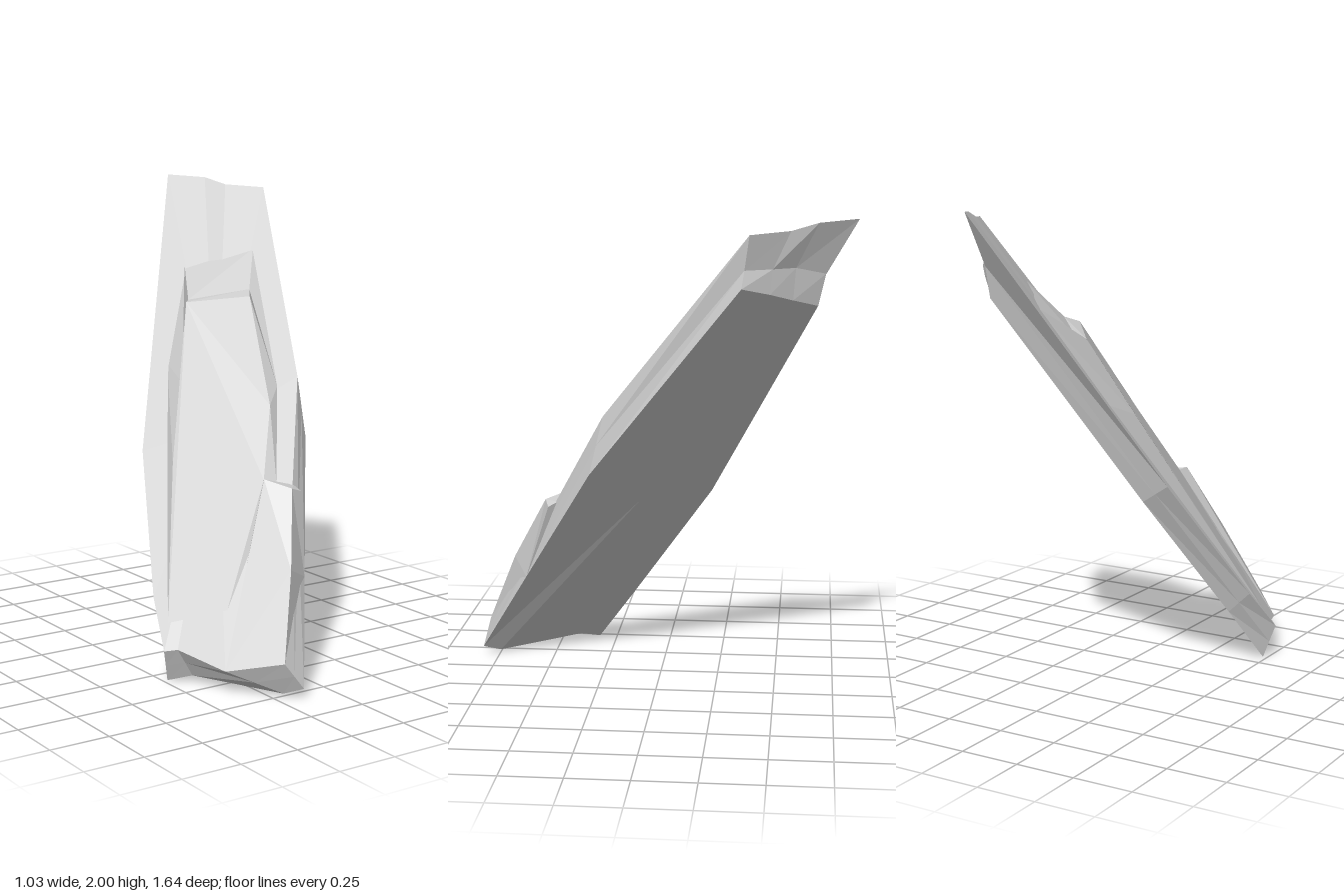
import * as THREE from 'three';

const grey = new THREE.MeshStandardMaterial({ color: 0xcccccc, flatShading: true, side: THREE.DoubleSide });

// Faceted mesh from convex polygons, each a loop of [x, y, z] corners
function facets(name, polygons) {
  const pos = [];
  for (const p of polygons) {
    for (let i = 1; i < p.length - 1; i++) pos.push(...p[0], ...p[i], ...p[i + 1]);
  }
  const geo = new THREE.BufferGeometry();
  geo.setAttribute('position', new THREE.Float32BufferAttribute(pos, 3));
  geo.computeVertexNormals();
  const mesh = new THREE.Mesh(geo, grey);
  mesh.name = name;
  return mesh;
}

// Point over the slab's sloping upper face, raised by h along its normal
const onSlab = (x, z, h = -0.003) => [x, (0.695 * x - 0.433 * z + 0.605 + h) / 0.575, z];

const middle = (...pts) => [0, 1, 2].map(k => pts.reduce((s, p) => s + p[k], 0) / pts.length);

// Leaning slab: upper rim, lower rim and, at the broken end, a notched middle rim
function slab() {
  const rim = [
    [[0.26, 2.0, -0.82], [0.26, 1.65, -0.66], [0.26, 1.78, -0.69]],
    [[0.36, 1.99, -0.66], [0.34, 1.68, -0.56], [0.34, 1.81, -0.57]],
    [[0.40, 1.96, -0.55], [0.42, 1.71, -0.47], [0.41, 1.81, -0.48]],
    [[0.50, 1.95, -0.39], [0.51, 1.74, -0.36], [0.48, 1.81, -0.37]],
    [[0.25, 1.18, 0.22], [0.25, 0.93, 0.28]],
    [[0.05, 0.75, 0.46], [0.02, 0.42, 0.59]],
    [[-0.23, 0.15, 0.80], [-0.15, 0.04, 0.82]],
    [[-0.39, 0.10, 0.62], [-0.20, 0.01, 0.75]],
    [[-0.48, 0.15, 0.41], [-0.41, 0.03, 0.41]],
    [[-0.52, 0.14, 0.37], [-0.48, 0.0, 0.33]],
    [[-0.47, 0.32, 0.21], [-0.395, 0.24, 0.16]],
    [[-0.28, 0.85, -0.18], [-0.18, 0.78, -0.21]],
  ].map(([top, low, mid]) => ({ top, low, mid: mid ?? middle(top, low) }));
  const topCentre = middle(...rim.map(r => r.top));
  const lowCentre = middle(...rim.map(r => r.low));
  const faces = [];
  rim.forEach((a, i) => {
    const b = rim[(i + 1) % rim.length];
    faces.push([topCentre, b.top, a.top], [lowCentre, a.low, b.low],
      [a.top, b.top, b.mid, a.mid], [a.mid, b.mid, b.low, a.low]);
  });
  return facets('slab', faces);
}

// Thin raised layer with a stepped upper end and chamfered sides
function raisedLayer() {
  const A = onSlab(0.03, -0.31, 0.08), B = onSlab(0.21, -0.08, 0.075);
  const C = onSlab(0.10, 0.23, 0.04), D = onSlab(-0.03, 0.37, 0.03);
  const E = onSlab(-0.30, 0.50), K = onSlab(-0.47, 0.32);
  const H = onSlab(-0.24, 0, 0.035), G = onSlab(-0.10, -0.14, 0.055);
  const A2 = onSlab(0.06, -0.34, 0.05), B2 = onSlab(0.25, -0.14, 0.035);
  const U = onSlab(0.15, -0.51), V = onSlab(0.36, -0.27);
  const W = onSlab(0.18, 0.17), X = onSlab(0.02, 0.39);
  const G0 = onSlab(-0.07, -0.31), H0 = onSlab(-0.25, -0.03);
  return facets('raisedLayer', [
    [A, G, H, K, E, D, C, B],                                    // top
    [A, B, B2, A2], [A2, B2, V, U],                              // stepped end
    [U, G0, G, A, A2], [G0, H0, H, G], [H0, K, H],               // left flank
    [B, C, W, B2], [B2, W, V], [C, D, X, W], [E, X, D],          // right flank and foot
  ]);
}

// Wedge-shaped chip over the lower corner
function cornerWedge() {
  const foot = [-0.39, 0.10, 0.62], tip = [-0.23, 0.15, 0.80], ridge = [-0.10, 0.48, 0.66];
  const peak = [0.02, 0.77, 0.50], back = [-0.05, 0.80, 0.40];
  const heel = [-0.03, 0.79, 0.37], heelBase = [0.02, 0.77, 0.39];
  const lip = [0.08, 0.75, 0.48], lipBack = [0.07, 0.77, 0.44], side = [0.02, 0.42, 0.59];
  return facets('cornerWedge', [
    [foot, tip, ridge], [foot, ridge, back], [ridge, peak, back],
    [foot, back, heel],
    [back, peak, lipBack, heelBase, heel], [peak, lip, lipBack],
    [tip, side, ridge], [side, lip, peak, ridge], [side, lipBack, lip],
  ]);
}

export function createModel() {
  const group = new THREE.Group();
  group.name = 'rockShard';
  group.add(slab(), raisedLayer(), cornerWedge());
  return group;
}
